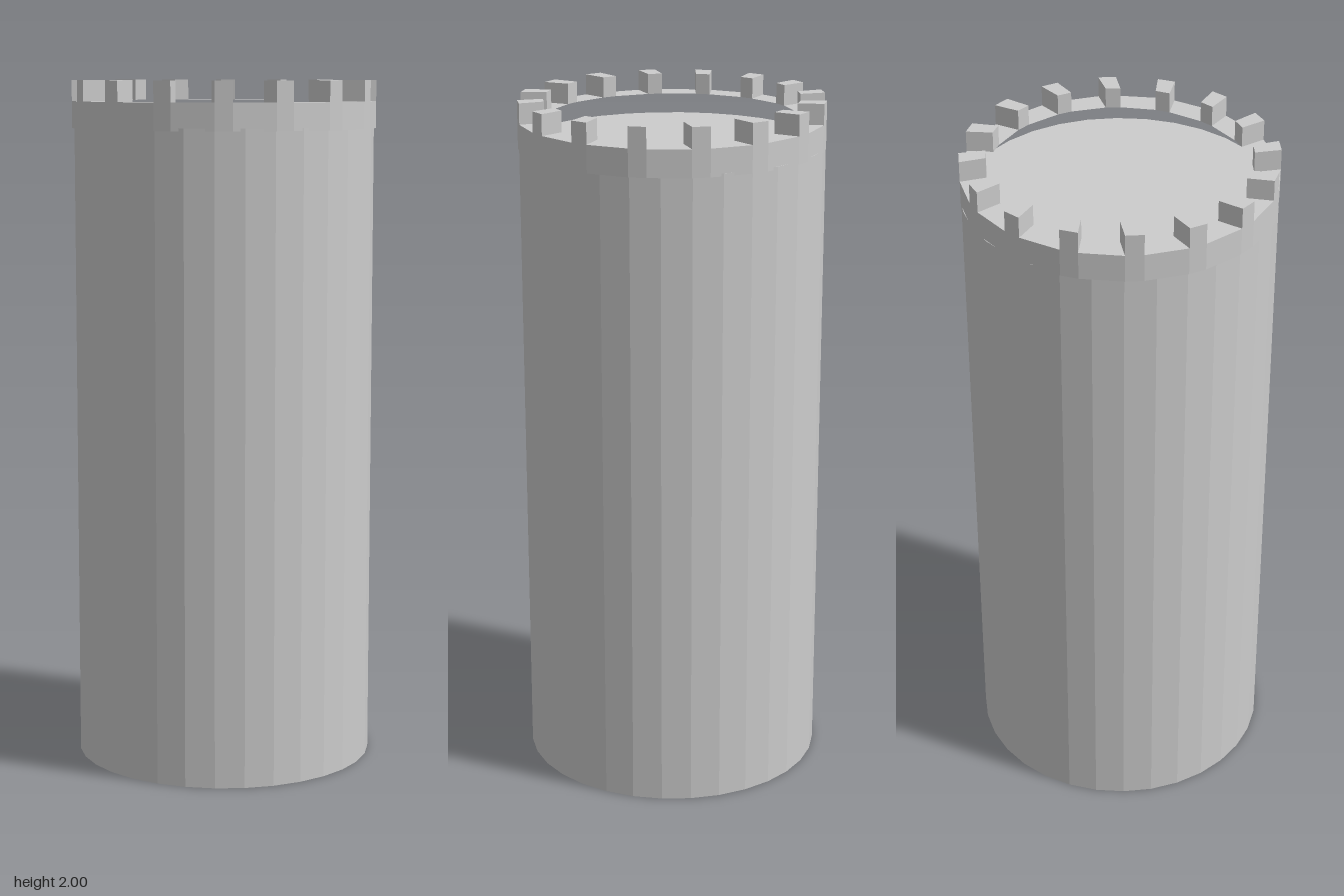
import * as THREE from 'three';

const FLOOR = 1.87, CROWN_BASE = 1.862, GAP_TOP = 1.94, TOP = 2;
const MERLONS = 16;

export function createModel() {
  const model = new THREE.Group();
  model.name = 'tower';
  const stone = new THREE.MeshStandardMaterial({ color: 0xcccccc, flatShading: true });
  stone.name = 'grey stone';

  const add = (name, geometry, parent) => {
    const mesh = new THREE.Mesh(geometry, stone);
    mesh.name = name;
    parent.add(mesh);
  };

  // Plan point at an angle in degrees, measured from +x towards +z
  const plan = (deg, rx, rz) => {
    const a = THREE.MathUtils.degToRad(deg);
    return new THREE.Vector2(rx * Math.cos(a), -rz * Math.sin(a));
  };
  const outer = (deg) => plan(deg, 0.443, 0.438);
  const inner = (deg) => plan(deg + 1.9, 0.371, 0.364);

  // Raise a plan shape from one height to another
  const raise = (shape, y0, y1) => {
    const g = new THREE.ExtrudeGeometry(shape, { depth: y1 - y0, bevelEnabled: false });
    g.rotateX(-Math.PI / 2);
    return g.translate(0, y0, 0);
  };

  // Round shaft, closed by the floor and the base
  const shaft = new THREE.CylinderGeometry(0.437, 0.437, FLOOR, 32);
  add('shaft', shaft.translate(0, FLOOR / 2, 0), model);

  // Low wall around the top, with a corner at both sides of each merlon
  const angles = [];
  for (let i = 0; i < MERLONS; i++) angles.push(i * 22.5 - 6.6, i * 22.5);
  const ring = new THREE.Shape(angles.map(outer));
  ring.holes.push(new THREE.Path(angles.map(inner)));
  add('parapet', raise(ring, CROWN_BASE, GAP_TOP), model);

  // Slightly skewed merlons standing on the wall
  const merlons = new THREE.Group();
  merlons.name = 'merlons';
  model.add(merlons);
  for (let i = 0; i < MERLONS; i++) {
    const a = angles[2 * i], b = angles[2 * i + 1];
    const block = new THREE.Shape([outer(a), outer(b), inner(b), inner(a)]);
    add('merlon', raise(block, GAP_TOP, TOP), merlons);
  }

  return model;
}
